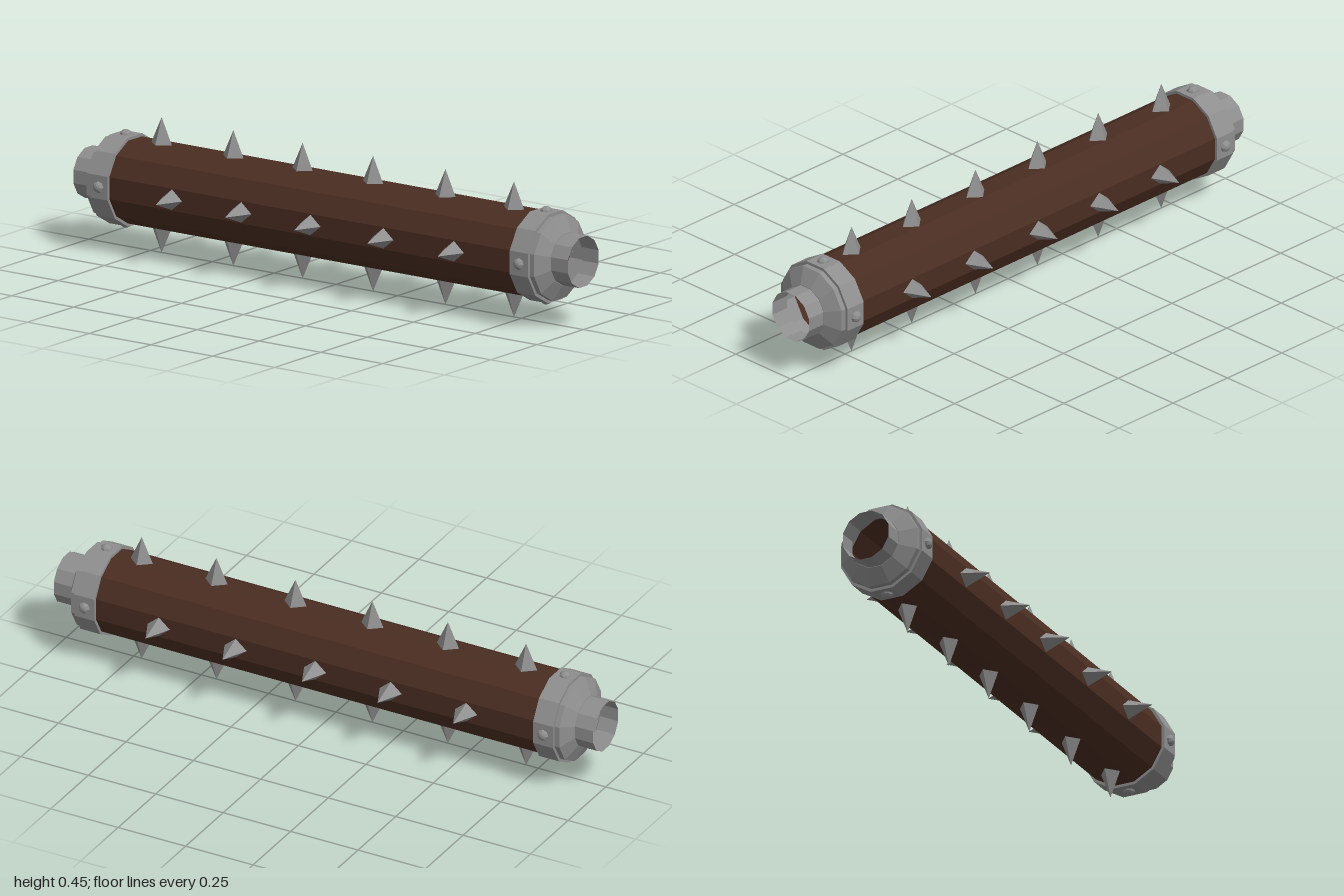
import * as THREE from 'three';

const SIDES = 12, TURN = Math.PI / SIDES, AXIS_Y = 0.226;

export function createModel() {
  const wood = new THREE.MeshStandardMaterial({ color: 0x4a2d22, flatShading: true, side: THREE.DoubleSide });
  wood.name = 'dark brown wood';
  const metal = new THREE.MeshStandardMaterial({ color: 0x8e8e8e, flatShading: true, side: THREE.DoubleSide });
  metal.name = 'grey metal';

  const model = new THREE.Group();
  model.name = 'spikedRoller';
  const add = (parent, geometry, material, name) => {
    const mesh = new THREE.Mesh(geometry, material);
    mesh.name = name;
    parent.add(mesh);
    return mesh;
  };

  // Twelve-sided hollow log lying along x, with flats up, down, front and back
  const log = new THREE.CylinderGeometry(0.143, 0.143, 1.68, SIDES, 1, true, TURN);
  log.rotateZ(-Math.PI / 2);
  add(model, log, wood, 'log').position.y = AXIS_Y;

  // End cap: raised band, step, bevel and open pipe, as [radius, x]
  const profile = [[0.143, 0.813], [0.153, 0.813], [0.153, 0.887], [0.143, 0.887],
    [0.143, 0.905], [0.088, 0.932], [0.086, 0.932], [0.086, 1]].map(p => new THREE.Vector2(...p));
  const capGeo = new THREE.LatheGeometry(profile, SIDES, TURN);
  capGeo.rotateZ(-Math.PI / 2);

  // Rivet dome and four-sided spike, both pointing up
  const rivetGeo = new THREE.SphereGeometry(0.02, 8, 4, 0, Math.PI * 2, 0, Math.PI / 2);
  rivetGeo.scale(1, 0.85, 1);
  const spikeGeo = new THREE.ConeGeometry(1, 0.092, 4);
  spikeGeo.scale(0.043, 1, 0.036);
  spikeGeo.translate(0, 0.046, 0);

  for (const side of [1, -1]) {
    const cap = new THREE.Group();
    cap.name = side > 0 ? 'leftCap' : 'rightCap';
    cap.position.y = AXIS_Y;
    cap.rotation.y = side > 0 ? 0 : Math.PI;
    add(cap, capGeo, metal, 'capShell');
    for (let i = 0; i < 4; i++) {
      const a = i * Math.PI / 2;
      const rivet = add(cap, rivetGeo, metal, 'rivet');
      rivet.position.set(0.85, 0.147 * Math.cos(a), 0.147 * Math.sin(a));
      rivet.rotation.x = a;
    }
    model.add(cap);
  }

  // Rows of spikes: six above and below, five staggered in front and behind
  const rows = [
    [-0.705, -0.415, -0.135, 0.15, 0.443, 0.72],
    [-0.56, -0.28, 0, 0.295, 0.58],
  ];
  ['top', 'front', 'bottom', 'back'].forEach((where, i) => {
    const a = i * Math.PI / 2;
    const row = new THREE.Group();
    row.name = where + 'Spikes';
    row.position.y = AXIS_Y;
    row.rotation.x = a;
    for (const x of rows[i % 2]) add(row, spikeGeo, metal, 'spike').position.set(x, 0.134, 0);
    model.add(row);
  });

  return model;
}
